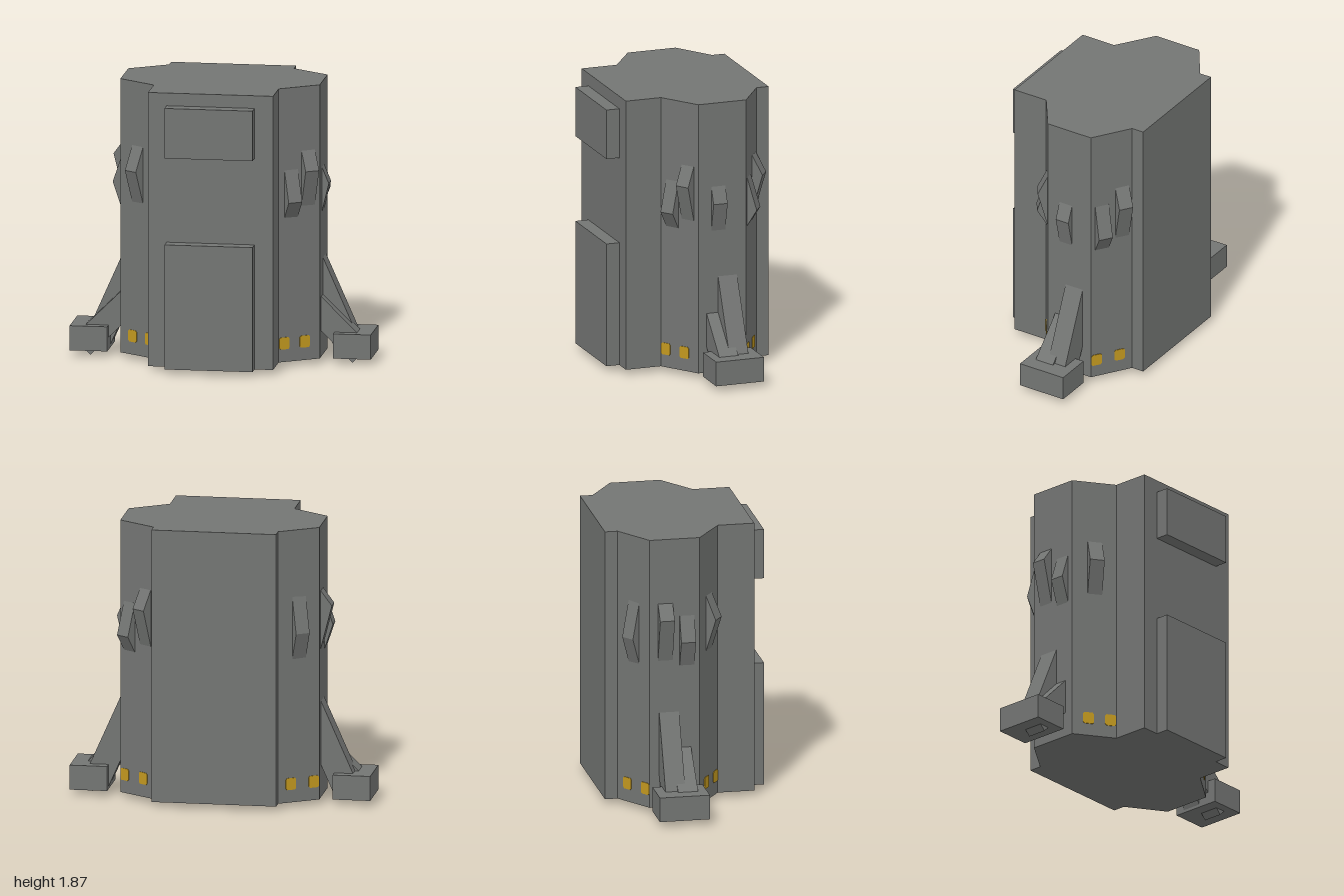
import * as THREE from 'three';

const grey = new THREE.MeshStandardMaterial({ color: 0x737573 });
grey.name = 'hull grey';
const amber = new THREE.MeshStandardMaterial({ color: 0xc2981f });
amber.name = 'lamp amber';

// Flat polygon extruded to a depth centred on z = 0
function prism(points, depth) {
  const shape = new THREE.Shape(points.map(([x, y]) => new THREE.Vector2(x, y)));
  const geo = new THREE.ExtrudeGeometry(shape, { depth, bevelEnabled: false });
  return geo.translate(0, 0, -depth / 2);
}

export function createModel() {
  const model = new THREE.Group();
  model.name = 'armouredPod';

  function add(name, geo, material, x = 0, y = 0, z = 0, turn = 0) {
    const mesh = new THREE.Mesh(geo, material);
    mesh.name = name;
    mesh.position.set(x, y, z);
    mesh.rotation.y = turn;
    model.add(mesh);
    return mesh;
  }
  const box = (name, w, h, d, x, y, z) =>
    add(name, new THREE.BoxGeometry(w, h, d), grey, x, y, z);

  // Hull: slab front and back with faceted sides, outline as [x, z]
  const half = [
    [0.415, 0.455], [0.415, 0.21], [0.662, 0.04],
    [0.662, -0.295], [0.415, -0.46], [0.415, -0.545],
  ];
  const outline = [...half, ...half.map(([x, z]) => [-x, z]).reverse()];
  const hull = prism(outline.map(([x, z]) => [x, -z]), 1.835).rotateX(-Math.PI / 2);
  add('hull', hull, grey, 0, 0.9525, 0);

  // Raised panels on the front
  box('lowerFrontPanel', 0.584, 0.835, 0.09, 0, 0.4525, 0.5);
  box('upperFrontPanel', 0.584, 0.335, 0.09, 0, 1.6175, 0.5);

  // Feet and their two braces on each side
  for (const s of [-1, 1]) {
    const side = pts => pts.map(([x, y]) => [s * x, y]);
    box('foot', 0.25, 0.165, 0.335, s * 0.875, 0.12, -0.127);
    add('tallBrace',
      prism(side([[0.655, 0.7], [0.914, 0.115], [0.755, 0.045], [0.655, 0.27]]), 0.133),
      grey, 0, 0, -0.165);
    add('shortBrace',
      prism(side([[0.655, 0.445], [0.987, 0.117], [0.87, 0], [0.655, 0.215]]), 0.133),
      grey, 0, 0, -0.085);
  }

  // Turn that brings local +x onto the outward normal of a hull facet
  const facing = (nx, nz) => Math.atan2(-nz, nx);
  const diagonal = (sx, sz) => facing(sx * 0.565, sz * 0.825);

  // Bent brackets: [x, z, turn, top, knee, bottom, reach]
  const brackets = [
    [0.49, 0.158, diagonal(1, 1), 1.32, 1.11, 1.0, 0.065],
    [0.592, 0.088, diagonal(1, 1), 1.44, 1.31, 1.07, 0.065],
    [0.475, -0.42, diagonal(1, -1), 1.44, 1.31, 1.06, 0.07],
    [0.595, -0.34, diagonal(1, -1), 1.33, 1.11, 1.0, 0.065],
    [-0.535, 0.127, diagonal(-1, 1), 1.44, 1.28, 1.06, 0.07],
    [-0.54, -0.376, diagonal(-1, -1), 1.42, 1.18, 1.0, 0.06],
    [0.662, -0.1, facing(1, 0), 1.3, 1.19, 1.0, 0.046],
    [-0.662, -0.19, facing(-1, 0), 1.43, 1.33, 1.04, 0.074],
    [-0.662, -0.045, facing(-1, 0), 1.34, 1.17, 1.0, 0.057],
  ];
  for (const [x, z, turn, top, knee, bottom, reach] of brackets) {
    const profile = [[-0.01, bottom], [0, bottom], [reach, knee], [0, top], [-0.01, top]];
    add('bracket', prism(profile, 0.098), grey, x, 0, z, turn);
  }

  // Paired lamps near the foot of each diagonal facet
  const w = 0.037, h = 0.04, c = 0.01;
  const lamp = prism([
    [w - c, -h], [w, c - h], [w, h - c], [w - c, h],
    [c - w, h], [-w, h - c], [-w, c - h], [c - w, -h],
  ], 0.008).rotateY(Math.PI / 2);
  for (const s of [-1, 1]) {
    for (const [x, z, sz] of [
      [0.448, 0.187, 1], [0.571, 0.103, 1],
      [0.491, -0.409, -1], [0.628, -0.318, -1],
    ]) {
      add('lamp', lamp, amber, s * x, 0.16, z, diagonal(s, sz));
    }
  }

  return model;
}
